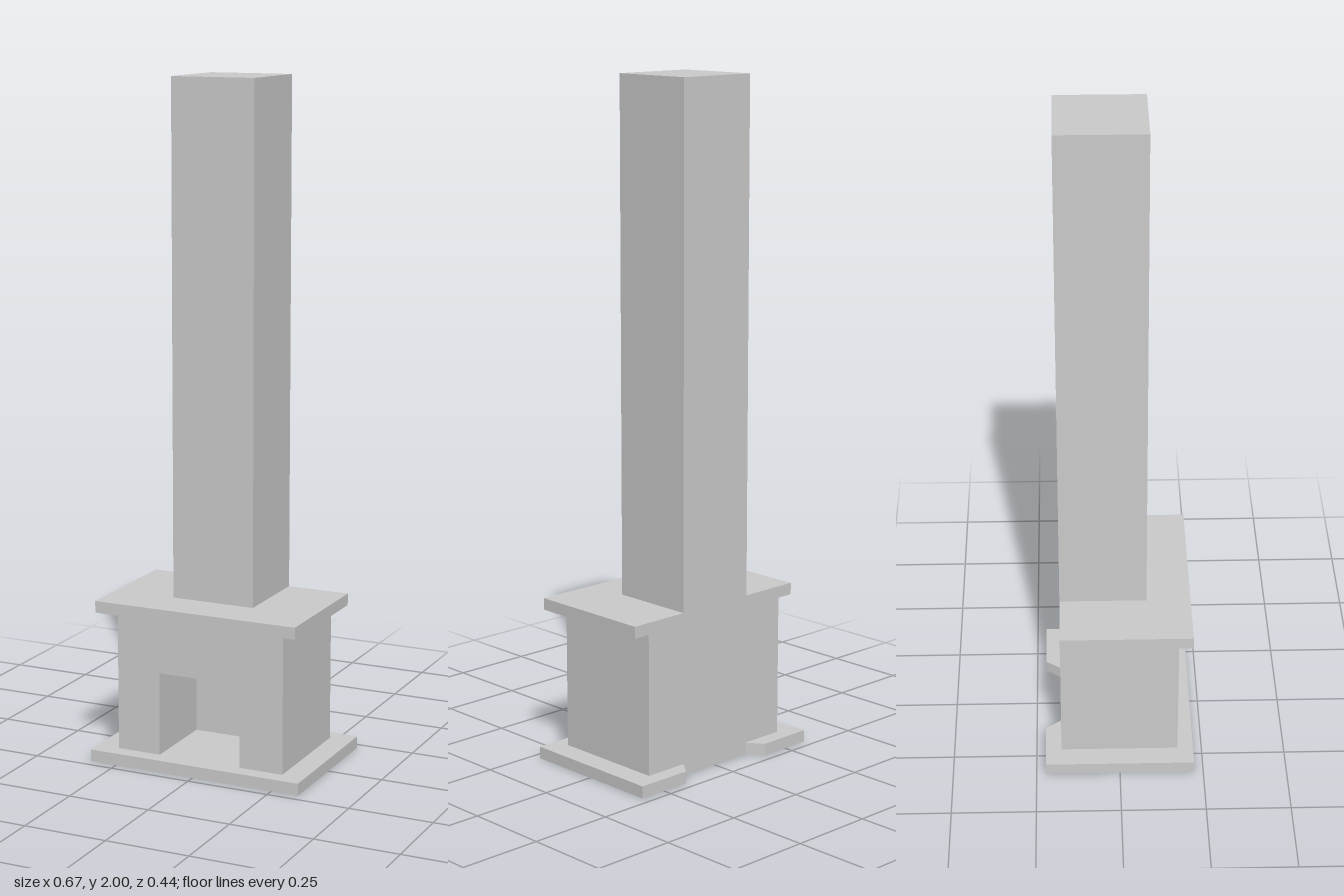
import * as THREE from 'three';

const material = new THREE.MeshStandardMaterial({ color: 0xcccccc });
const BACK = -0.175; // shared plane of the rear wall

function add(group, name, geometry) {
  const mesh = new THREE.Mesh(geometry, material);
  mesh.name = name;
  group.add(mesh);
  return mesh;
}

// Box centred on x, given by its y and z ranges
function block(group, name, width, y0, y1, z0, z1) {
  const mesh = add(group, name, new THREE.BoxGeometry(width, y1 - y0, z1 - z0));
  mesh.position.set(0, (y0 + y1) / 2, (z0 + z1) / 2);
}

// Mirror half an outline across x = 0 and extrude it along its depth
function mirroredExtrude(half, depth) {
  const points = [...half, ...half.map(([x, y]) => [-x, y]).reverse()];
  const shape = new THREE.Shape(points.map(([x, y]) => new THREE.Vector2(x, y)));
  return new THREE.ExtrudeGeometry(shape, { depth, bevelEnabled: false });
}

export function createModel() {
  const model = new THREE.Group();
  model.name = 'fireplace';
  const baseTop = 0.036, bodyTop = 0.455, mantelTop = 0.49;

  // Hearth slab with a splayed notch at the back (outline y is -z)
  const slab = mirroredExtrude(
    [[0.333, -0.222], [0.333, 0.222], [0.163, 0.222], [0.128, -BACK]], baseTop);
  slab.rotateX(-Math.PI / 2);
  add(model, 'hearthSlab', slab);

  // Firebox surround: upside-down U around the opening
  const fireboxBack = -0.07, front = 0.175;
  const surround = mirroredExtrude(
    [[0.129, 0.285], [0.129, baseTop], [0.264, baseTop], [0.264, bodyTop]], front - fireboxBack);
  surround.translate(0, 0, fireboxBack);
  add(model, 'fireboxSurround', surround);

  // Solid wall behind the firebox
  block(model, 'rearWall', 0.528, baseTop, bodyTop, BACK, fireboxBack);

  // Mantel shelf and chimney, flush with the rear wall
  block(model, 'mantelShelf', 0.634, bodyTop, mantelTop, BACK, 0.214);
  block(model, 'chimney', 0.256, mantelTop, 2, BACK, 0.083);

  return model;
}
